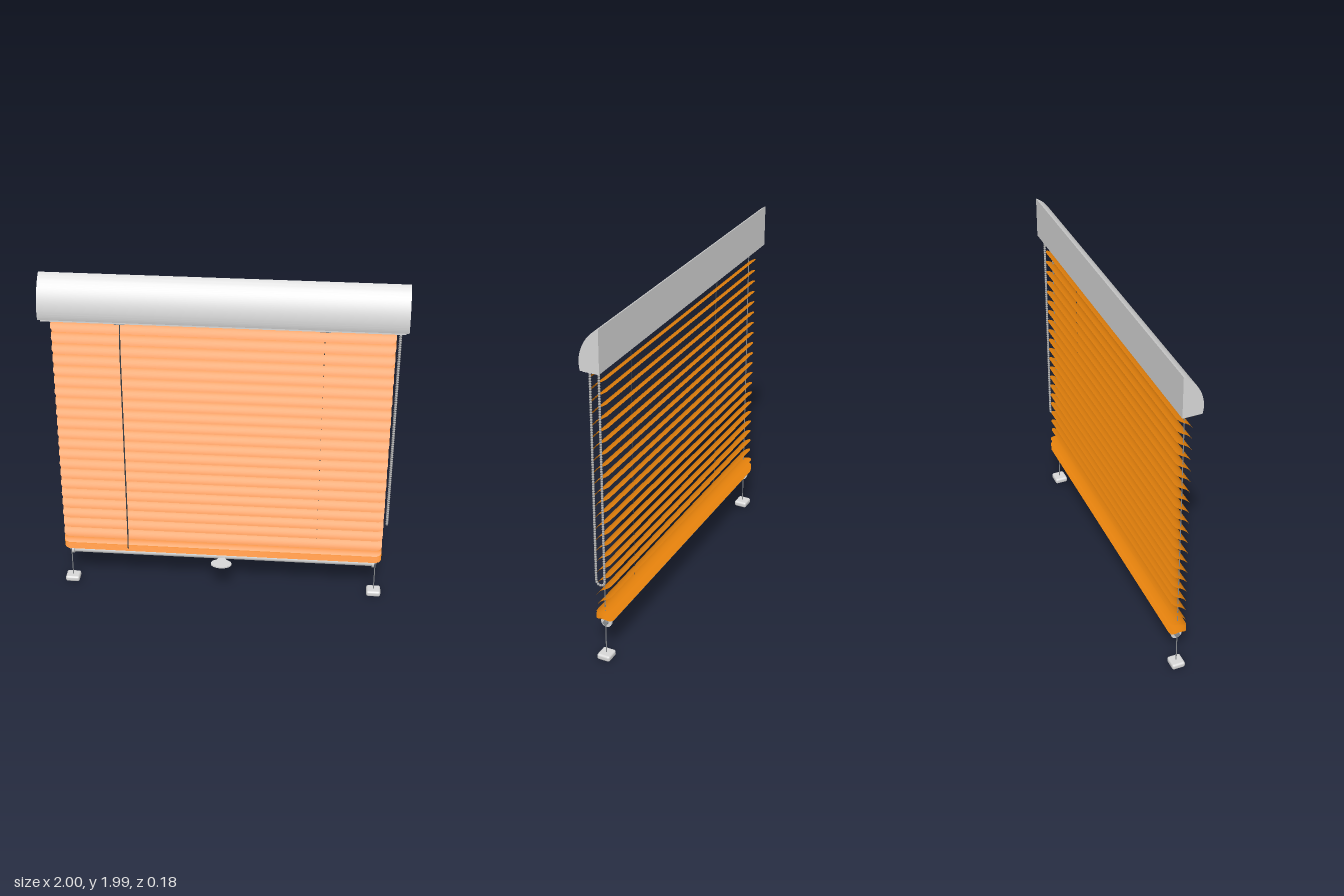
import * as THREE from 'three';
import { mergeGeometries, toCreasedNormals } from 'three/addons/utils/BufferGeometryUtils.js';
import { RoundedBoxGeometry } from 'three/addons/geometries/RoundedBoxGeometry.js';

const material = (name, color, side = THREE.FrontSide) => {
  const m = new THREE.MeshStandardMaterial({ color, side });
  m.name = name;
  return m;
};

const MID_Z = -0.035; // plane of the guide cords and slat centres

// Curved slat with rounded corners: a strip bent across its width and tilted
function slatGeometry(height, depth, crown) {
  const geo = new THREE.PlaneGeometry(2, 1, 1, 16);
  const pos = geo.attributes.position;
  const width = Math.hypot(height, depth);
  const corner = 0.03;
  for (let i = 0; i < pos.count; i++) {
    const u = pos.getY(i);
    const over = Math.max(0, Math.abs(u) * width - (width / 2 - corner));
    const half = 0.937 - corner + Math.sqrt(Math.max(0, corner ** 2 - over ** 2));
    const bulge = crown * (1 - 4 * u * u);
    pos.setXYZ(
      i,
      Math.sign(pos.getX(i)) * half,
      u * height + (bulge * depth) / width,
      MID_Z - u * depth + (bulge * height) / width
    );
  }
  geo.computeVertexNormals();
  return geo;
}

export function createModel() {
  const model = new THREE.Group();
  model.name = 'venetianBlind';

  const casing = material('light grey casing', 0xd8d8d8);
  const orange = material('orange slat', 0xe8830c, THREE.DoubleSide);
  const steel = material('grey cord', 0x8c8f92);
  const darkCord = material('dark cord', 0x3c444c);
  const chainGrey = material('chain grey', 0xa6a6a6);

  const add = (name, geo, mat, x = 0, y = 0, z = 0) => {
    const mesh = new THREE.Mesh(geo, mat);
    mesh.name = name;
    mesh.position.set(x, y, z);
    model.add(mesh);
    return mesh;
  };

  // Head box: flat back, curved front, drawn as (-z, y) and extruded along x
  const profile = new THREE.Shape();
  profile.moveTo(0.092, 1.755);
  profile.lineTo(0.092, 1.992);
  profile.bezierCurveTo(0.03, 1.96, -0.02, 1.88, -0.02, 1.8);
  profile.quadraticCurveTo(-0.02, 1.775, -0.014, 1.755);
  profile.closePath();
  const head = new THREE.ExtrudeGeometry(profile, { depth: 2, bevelEnabled: false, curveSegments: 24 });
  head.rotateY(Math.PI / 2).translate(-1, 0, 0);
  add('headBox', toCreasedNormals(head, 0.5), casing);
  add('headRail', new THREE.BoxGeometry(1.97, 0.012, 0.09), casing, 0, 1.751, MID_Z);

  // Tilted slats
  const tilted = slatGeometry(0.07, 0.084, 0.012);
  for (let i = 0; i < 21; i++) add('slat', tilted, orange, 0, 1.719 - i * 0.0673);
  add('lowestSlat', slatGeometry(0.035, 0.098, 0.012), orange, 0, 0.318);

  // Gathered slats lying flat at the bottom
  const flat = slatGeometry(0.002, 0.1, 0.014);
  for (let i = 0; i < 6; i++) add('stackedSlat', flat, orange, 0, 0.258 + i * 0.0065);

  // Bottom bar with end caps
  const rod = (radius, length) => new THREE.CylinderGeometry(radius, radius, length, 24).rotateZ(Math.PI / 2);
  add('bottomBar', rod(0.025, 1.78), casing, 0, 0.229, MID_Z);

  for (const side of [-1, 1]) {
    add('barEndCap', rod(0.032, 0.014), casing, side * 0.892, 0.229, MID_Z);
    add('barEndPin', rod(0.014, 0.016), steel, side * 0.905, 0.229, MID_Z);
    // Guide cord and its foot
    add('guideCord', new THREE.CylinderGeometry(0.003, 0.003, 1.72, 8), steel, side * 0.905, 0.895, MID_Z);
    add('foot', new RoundedBoxGeometry(0.084, 0.036, 0.078, 3, 0.013), casing, side * 0.905, 0.018, MID_Z);
    add('cordOutlet', new THREE.BoxGeometry(0.06, 0.012, 0.03), steel, side * 0.555, 1.745, -0.01);
  }

  // Pull handle: a thin rounded tab in front of the bar
  const tab = new THREE.Shape();
  tab.moveTo(-0.045, -0.02);
  tab.bezierCurveTo(-0.08, -0.045, -0.055, -0.088, 0, -0.088);
  tab.bezierCurveTo(0.055, -0.088, 0.08, -0.045, 0.045, -0.02);
  tab.quadraticCurveTo(0.02, -0.01, 0.018, 0.018);
  tab.lineTo(-0.018, 0.018);
  tab.quadraticCurveTo(-0.02, -0.01, -0.045, -0.02);
  const handle = new THREE.ExtrudeGeometry(tab, { depth: 0.008, bevelEnabled: false, curveSegments: 16 });
  handle.rotateX(-Math.PI / 2);
  add('pullHandle', toCreasedNormals(handle, 0.5), casing, 0, 0.216, 0);

  // Lift cords: one runs before the slats, one passes through them
  const cord = (x, z, radius, name, belly) => {
    const path = new THREE.CatmullRomCurve3(
      [[1.75, -0.012], [1.65, z], [1.0, z], [0.36, z], [0.29, belly], [0.25, -0.01]]
        .map(([y, cz]) => new THREE.Vector3(x, y, Math.abs(cz) === 0.012 ? Math.min(cz, z) : cz)),
      false, 'centripetal'
    );
    add(name, new THREE.TubeGeometry(path, 60, radius, 6), darkCord);
  };
  cord(-0.555, 0.009, 0.0035, 'frontLiftCord', 0.02);
  cord(0.555, -0.026, 0.002, 'innerLiftCord', -0.026);

  // Bead chain loop: two strands joined by a half circle at the bottom
  const chain = new THREE.CurvePath();
  const p = (y, z) => new THREE.Vector3(0.957, y, z);
  chain.add(new THREE.LineCurve3(p(1.755, -0.015), p(0.53, -0.015)));
  chain.add(new THREE.CubicBezierCurve3(p(0.53, -0.015), p(0.493, -0.015), p(0.493, -0.065), p(0.53, -0.065)));
  chain.add(new THREE.LineCurve3(p(0.53, -0.065), p(1.755, -0.065)));
  const beads = [];
  const count = 180;
  for (let i = 0; i <= count; i++) {
    const c = chain.getPoint(i / count);
    beads.push(new THREE.SphereGeometry(0.0075, 8, 6).translate(c.x, c.y, c.z));
  }
  add('beadChain', mergeGeometries(beads), chainGrey);

  return model;
}
